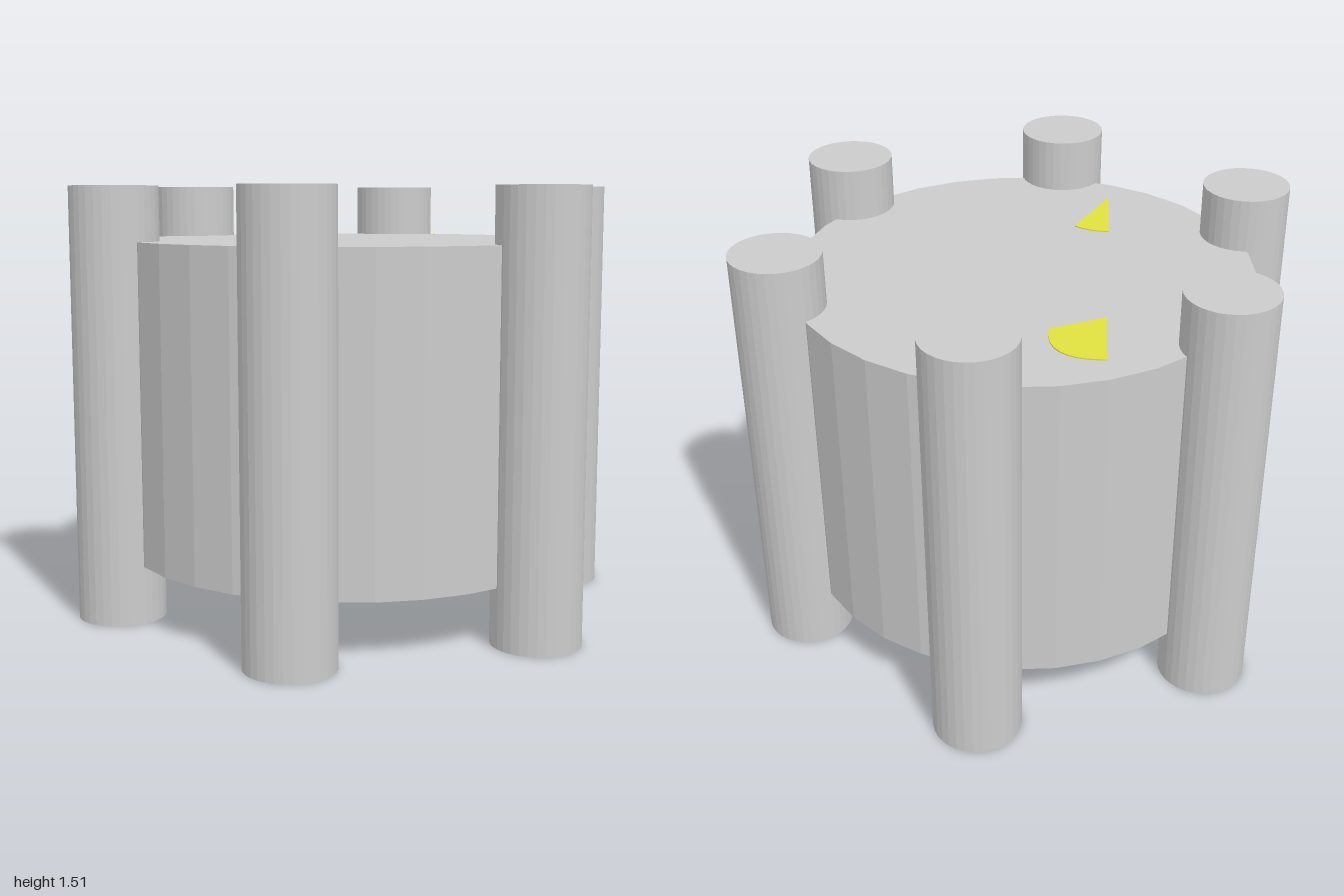
import * as THREE from 'three';

export function createModel() {
  const group = new THREE.Group();
  const grey = new THREE.MeshStandardMaterial({ color: 0xcccccc, flatShading: true });
  const yellow = new THREE.MeshStandardMaterial({ color: 0xe0e040, flatShading: true });
  const bodyTop = 1.325, bodyBottom = 0.205;

  const add = (geometry, material, name, x, y, z) => {
    const mesh = new THREE.Mesh(geometry, material);
    mesh.name = name;
    mesh.position.set(x, y, z);
    group.add(mesh);
    return mesh;
  };

  // Faceted drum
  add(new THREE.CylinderGeometry(0.805, 0.805, bodyTop - bodyBottom, 32), grey,
    'body', 0, (bodyTop + bodyBottom) / 2, 0);

  // Six posts around the rim, taller than the drum at both ends
  const postHeight = 1.515, ring = 0.847;
  const postGeometry = new THREE.CylinderGeometry(0.154, 0.154, postHeight, 32);
  for (let i = 0; i < 6; i++) {
    const a = THREE.MathUtils.degToRad(22.3 + 60 * i);
    add(postGeometry, grey, `post${i + 1}`, ring * Math.cos(a), postHeight / 2, ring * Math.sin(a));
  }

  // Thin wedge inlays on the top: a point, two corners and a curved outer edge (x, z)
  const addWedge = (name, tip, from, bulge, to) => {
    const shape = new THREE.Shape();
    shape.moveTo(tip[0], -tip[1]);
    shape.lineTo(from[0], -from[1]);
    shape.quadraticCurveTo(bulge[0], -bulge[1], to[0], -to[1]);
    shape.closePath();
    const geometry = new THREE.ExtrudeGeometry(shape, { depth: 0.006, bevelEnabled: false, curveSegments: 8 });
    geometry.rotateX(-Math.PI / 2);
    add(geometry, yellow, name, 0, bodyTop - 0.002, 0);
  };
  addWedge('largeWedge', [0.045, -0.46], [0.235, -0.39], [0.385, -0.52], [0.235, -0.655]);
  addWedge('smallWedge', [-0.64, 0.225], [-0.37, 0.125], [-0.38, 0.05], [-0.43, 0.01]);
  addWedge('tinyWedge', [0.624, -0.228], [0.636, -0.23], [0.642, -0.236], [0.636, -0.24]);

  return group;
}
